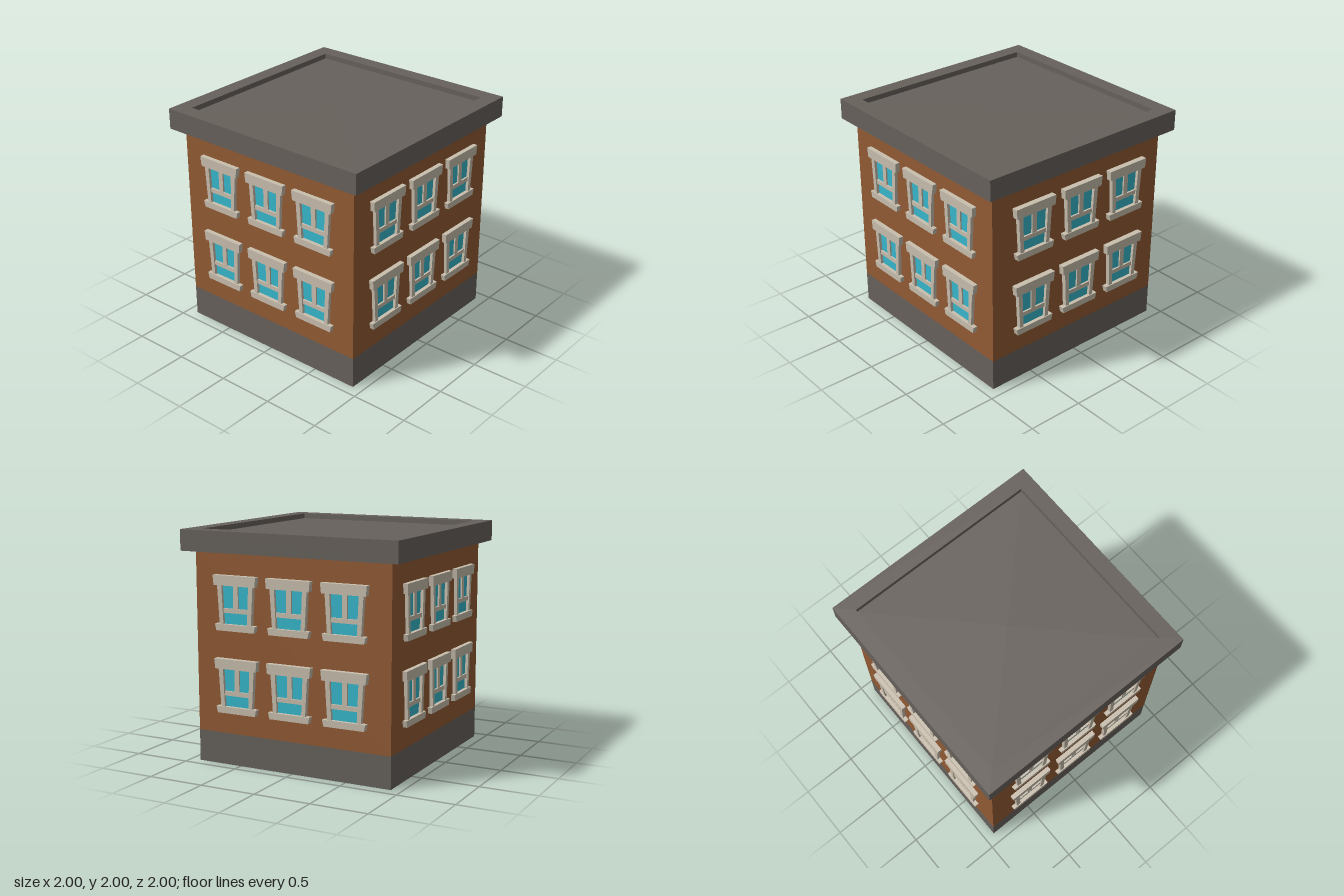
import * as THREE from 'three';

const mat = (name, color) => {
  const m = new THREE.MeshStandardMaterial({ color });
  m.name = name;
  return m;
};

const WALL = 0.908; // half width of the walls

export function createModel() {
  const brick = mat('brick brown', 0x925b34);
  const stone = mat('grey stone', 0x67615c);
  const trim = mat('cream trim', 0xc9bfae);
  const glass = mat('window glass', 0x36b8cc);

  const model = new THREE.Group();
  model.name = 'building';

  // Square shell: a profile of [half width, y] swept around four flat sides
  const squareShell = (name, profile, material) => {
    const points = profile.map(([half, y]) => new THREE.Vector2(half * Math.SQRT2, y));
    const geo = new THREE.LatheGeometry(points, 4, Math.PI / 4).toNonIndexed();
    geo.computeVertexNormals();
    const mesh = new THREE.Mesh(geo, material);
    mesh.name = name;
    model.add(mesh);
  };

  squareShell('floor', [[0, 0], [WALL, 0]], brick);
  squareShell('plinth', [[WALL, 0], [WALL, 0.275]], stone);
  squareShell('walls', [[WALL, 0.275], [WALL, 1.82]], brick);
  squareShell('roof', [[WALL, 1.82], [1, 1.82], [1, 2], [0.865, 2], [0.865, 1.955], [0, 1.955]], stone);

  // Four-sided slab: bottom edge x0..x1 at y0, top edge x2..x3 at y1, from z0 to z1
  const slab = ([x0, x1, y0], [x2, x3, y1], z0, z1) => {
    const shape = new THREE.Shape([
      new THREE.Vector2(x0, y0), new THREE.Vector2(x1, y0),
      new THREE.Vector2(x3, y1), new THREE.Vector2(x2, y1),
    ]);
    const geo = new THREE.ExtrudeGeometry(shape, { depth: z1 - z0, bevelEnabled: false });
    return geo.translate(0, 0, z0);
  };

  // Window pieces, shared by every window
  const back = 0.899;
  const pieces = [
    ['pane', slab([-0.118, 0.118, 1.22], [-0.135, 0.135, 1.55], 0.905, 0.912), glass],
    ['lintel', slab([-0.198, 0.198, 1.547], [-0.207, 0.207, 1.632], back, 0.949), trim],
    ['sill', slab([-0.182, 0.182, 1.167], [-0.195, 0.195, 1.223], back, 0.945), trim],
    ['leftJamb', slab([0.115, 0.152, 1.223], [0.13, 0.172, 1.547], back, 0.937), trim],
    ['rightJamb', slab([-0.152, -0.115, 1.223], [-0.172, -0.13, 1.547], back, 0.937), trim],
    ['crossRail', slab([-0.119, 0.119, 1.317], [-0.119, 0.119, 1.355], back, 0.928), trim],
    ['mullion', slab([-0.023, 0.023, 1.355], [-0.023, 0.023, 1.547], back, 0.926), trim],
  ];

  const makeWindow = () => {
    const group = new THREE.Group();
    group.name = 'window';
    for (const [name, geo, material] of pieces) {
      const mesh = new THREE.Mesh(geo, material);
      mesh.name = name;
      group.add(mesh);
    }
    return group;
  };

  // Two rows of three windows on each of the four sides
  ['front', 'left', 'back', 'right'].forEach((side, i) => {
    const facade = new THREE.Group();
    facade.name = side + 'Windows';
    for (const y of [0, -0.705]) {
      for (const x of [-0.503, 0.003, 0.51]) {
        const win = makeWindow();
        win.position.set(x, y, side === 'back' ? 0.015 : 0);
        facade.add(win);
      }
    }
    facade.rotation.y = i * Math.PI / 2;
    model.add(facade);
  });

  return model;
}
